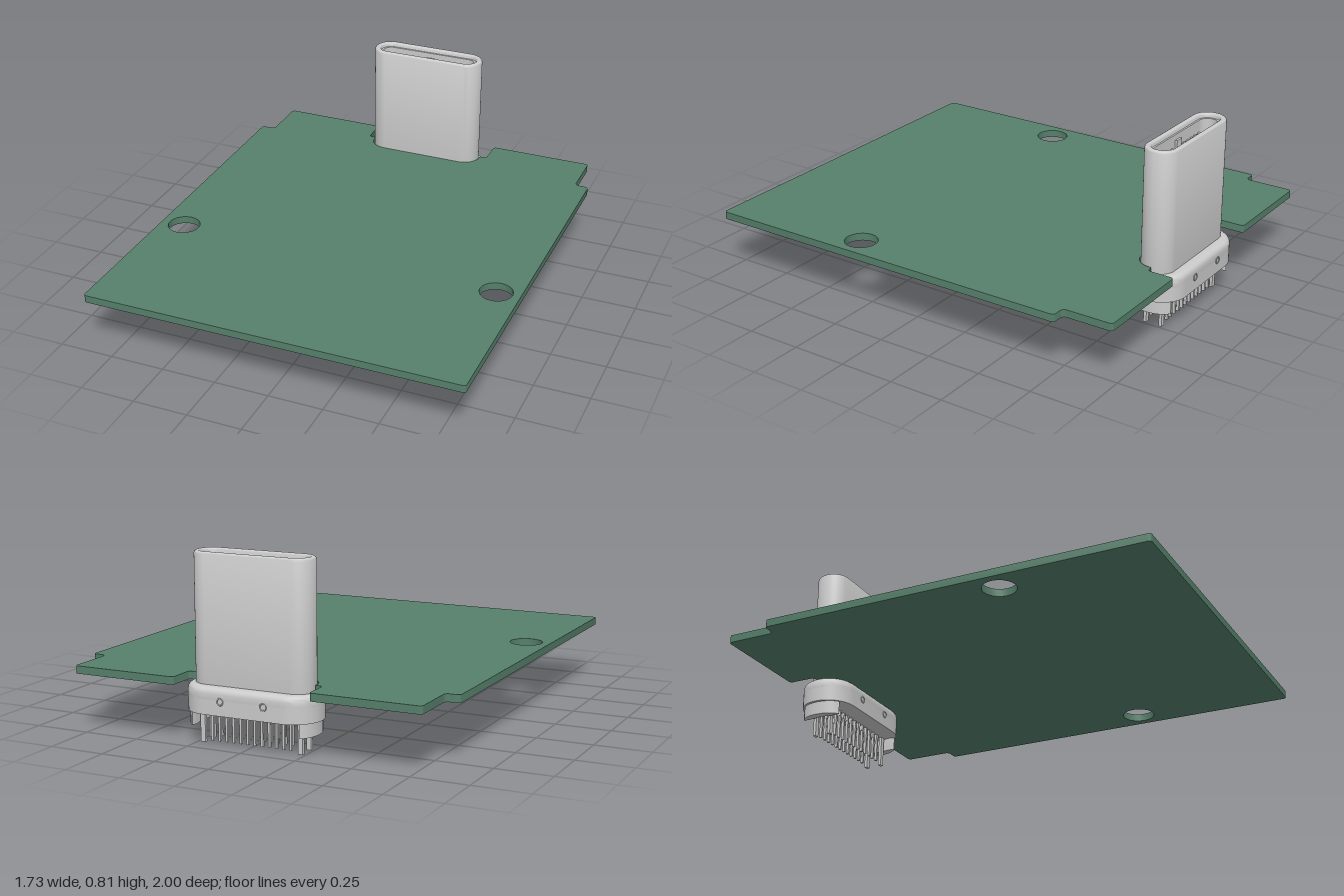
import * as THREE from 'three';
import { toCreasedNormals } from 'three/addons/utils/BufferGeometryUtils.js';

const grey = new THREE.MeshStandardMaterial({ color: 0xcccccc });
const green = new THREE.MeshStandardMaterial({ color: 0x56806b });
const CZ = -0.863; // depth centre of the connector

// Closed outline of right-angled corners [x, y, radius], each rounded
function rounded(corners, path = new THREE.Shape()) {
  const n = corners.length;
  const k = 0.448;
  corners.forEach(([x, y, r], i) => {
    const p = new THREE.Vector2(x, y);
    const toward = (c) => new THREE.Vector2(c[0], c[1]).sub(p).normalize();
    const a = toward(corners[(i + n - 1) % n]);
    const b = toward(corners[(i + 1) % n]);
    const s = p.clone().addScaledVector(a, r), e = p.clone().addScaledVector(b, r);
    const c1 = p.clone().addScaledVector(a, r * k), c2 = p.clone().addScaledVector(b, r * k);
    if (i === 0) path.moveTo(s.x, s.y); else path.lineTo(s.x, s.y);
    path.bezierCurveTo(c1.x, c1.y, c2.x, c2.y, e.x, e.y);
  });
  path.closePath();
  return path;
}

// Pill outline centred on the connector
function pill(hx, hz, path) {
  const r = hz - 0.001, y = -CZ;
  return rounded([[-hx, y - hz, r], [hx, y - hz, r], [hx, y + hz, r], [-hx, y + hz, r]], path);
}

// Extrude a plan outline upward from y0 to y1, with an optional rounded edge
function slab(name, shape, y0, y1, material, bevel = 0) {
  let geo = new THREE.ExtrudeGeometry(shape, {
    depth: y1 - y0 - 2 * bevel, curveSegments: 10,
    bevelEnabled: bevel > 0, bevelSize: bevel, bevelThickness: bevel,
    bevelOffset: -bevel, bevelSegments: 4,
  });
  geo.translate(0, 0, y0 + bevel);
  geo.rotateX(-Math.PI / 2);
  geo = toCreasedNormals(geo, 0.6);
  const mesh = new THREE.Mesh(geo, material);
  mesh.name = name;
  return mesh;
}

function box(name, w, h, d, x, y, z) {
  const mesh = new THREE.Mesh(new THREE.BoxGeometry(w, h, d), grey);
  mesh.position.set(x, y, z);
  mesh.name = name;
  return mesh;
}

function createBoard() {
  const right = [
    [0.865, -1, 0.015], [0.865, 0.77, 0.015], [0.8, 0.77, 0.02], [0.8, 1, 0.015],
    [0.313, 1, 0.015], [0.313, 0.875, 0.015], [0.279, 0.875, 0.005], [0.279, 0.782, 0.08],
  ];
  const left = right.map(([x, y, r]) => [-x, y, r]).reverse();
  const shape = rounded([...right, ...left]);
  for (const s of [-1, 1]) {
    shape.holes.push(new THREE.Path().absarc(s * 0.755, -0.295, 0.074, 0, Math.PI * 2, true));
  }
  return slab('circuitBoard', shape, 0.252, 0.286, green);
}

function createPlug() {
  const plug = new THREE.Group();
  plug.name = 'plug';

  // Hollow metal shell with an insulating liner and a floor
  const shell = pill(0.273, 0.077);
  shell.holes.push(pill(0.244, 0.049, new THREE.Path()));
  plug.add(slab('shell', shell, 0.2, 0.805, grey, 0.013));
  const liner = pill(0.25, 0.055);
  liner.holes.push(pill(0.234, 0.041, new THREE.Path()));
  plug.add(slab('liner', liner, 0.25, 0.785, grey));
  plug.add(slab('cavityFloor', pill(0.245, 0.05), 0.25, 0.45, grey));

  // Spring contacts along both long walls
  for (const s of [-1, 1]) {
    for (let i = 0; i < 12; i++) {
      const x = (i - 5.5) * 0.0333;
      if (Math.abs(x) < 0.04) continue;
      plug.add(box('contact', 0.014, 0.28, 0.016, x, 0.59, CZ + s * 0.035));
    }
    plug.add(box('centreGuide', 0.04, 0.31, 0.012, 0, 0.605, CZ + s * 0.037));
    plug.add(box('sideLatch', 0.014, 0.28, 0.03, s * 0.227, 0.59, CZ));
  }
  return plug;
}

function createBase() {
  const base = new THREE.Group();
  base.name = 'base';

  // Collar below the board: straight skirt plus rounded shoulder
  base.add(slab('collarSkirt', pill(0.304, 0.125), 0.14, 0.215, grey));
  base.add(slab('collarShoulder', pill(0.304, 0.125), 0.18, 0.255, grey, 0.025));

  // Round dimples on both long faces
  for (const s of [-1, 1]) for (const x of [-0.1, 0.1]) {
    const dimple = new THREE.Mesh(new THREE.TorusGeometry(0.014, 0.003, 6, 20), grey);
    dimple.position.set(x, 0.2, CZ + s * 0.125);
    dimple.name = 'dimple';
    base.add(dimple);
  }

  // Curved feet at the two ends
  for (const s of [-1, 1]) {
    const y = -CZ;
    const foot = new THREE.Shape();
    foot.moveTo(s * 0.25, y - 0.094);
    foot.bezierCurveTo(s * 0.305, y - 0.06, s * 0.305, y + 0.06, s * 0.25, y + 0.094);
    foot.lineTo(s * 0.245, y + 0.07);
    foot.lineTo(s * 0.255, y);
    foot.lineTo(s * 0.245, y - 0.07);
    foot.closePath();
    base.add(slab('endFoot', foot, 0.08, 0.145, grey));
    // Wide ground pins
    for (const z of [-0.04, 0.035]) {
      base.add(box('groundPin', 0.022, 0.15, 0.014, s * 0.228, 0.075, CZ + z));
    }
  }

  // Two rows of twelve solder pins, each with a wider root
  for (const z of [-0.04, 0.035]) for (let i = 0; i < 12; i++) {
    const x = (i - 5.5) * 0.0333;
    base.add(box('solderPin', 0.01, 0.135, 0.012, x, 0.0775, CZ + z));
    base.add(box('pinRoot', 0.014, 0.03, 0.016, x, 0.13, CZ + z * 0.9));
  }
  return base;
}

export function createModel() {
  const model = new THREE.Group();
  model.name = 'connectorBoard';
  model.add(createBoard(), createPlug(), createBase());
  return model;
}
